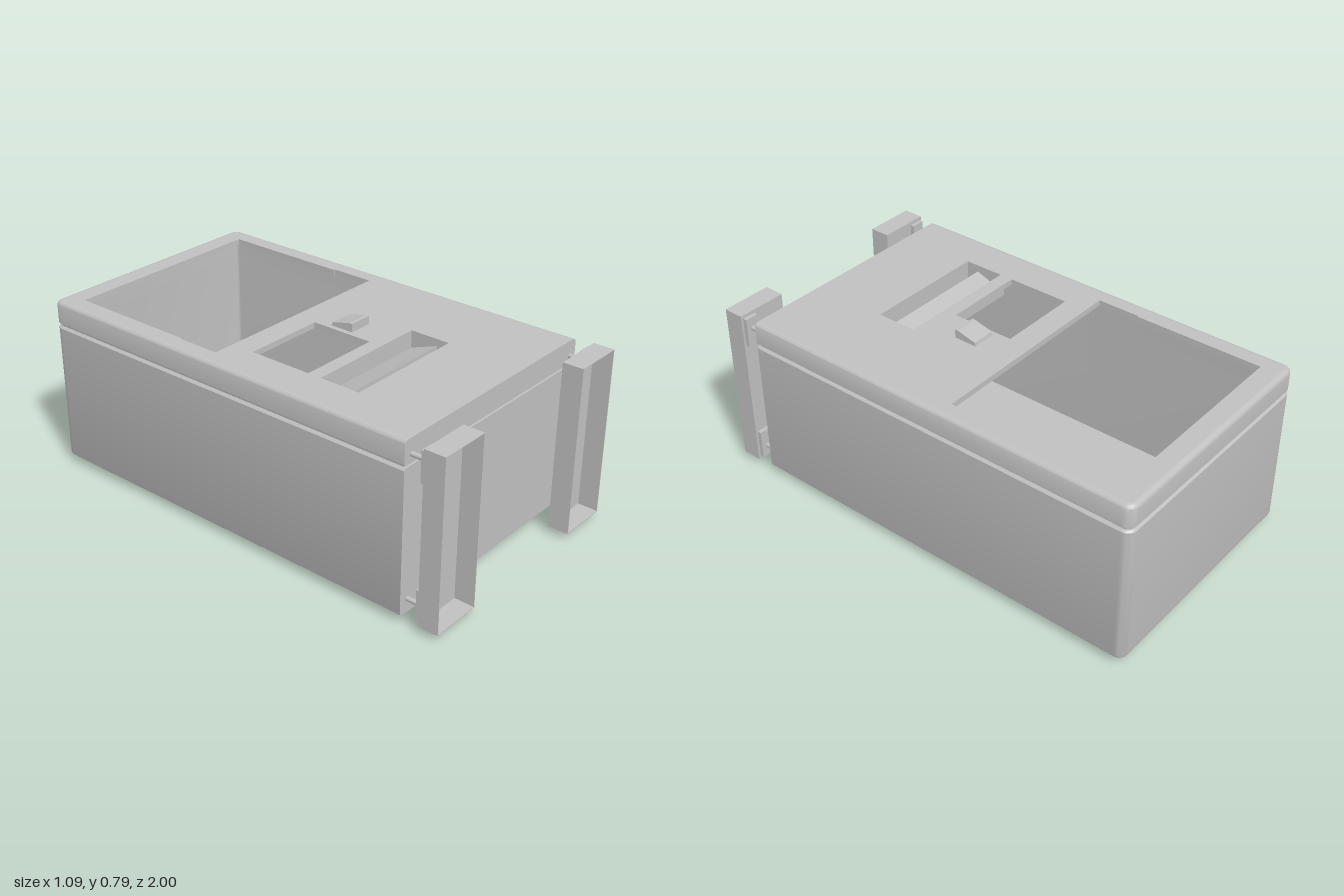
import * as THREE from 'three';
import { toCreasedNormals } from 'three/addons/utils/BufferGeometryUtils.js';

const W = 0.545, BACK = -1, FRONT = 0.83, CORNER = 0.04;

// Plan outline, rounded at the two back corners, square at the front
function outline(inset, front) {
  const w = W - inset, b = BACK + inset, f = FRONT - front;
  const r = Math.max(CORNER - inset, 0.004), n = 6, pts = [[w, f]];
  for (const side of [0, 1]) {
    for (let i = 0; i <= n; i++) {
      const a = (side + i / n) * Math.PI / 2;
      pts.push([(side ? -1 : 1) * (w - r) + r * Math.cos(a), b + r - r * Math.sin(a)]);
    }
  }
  pts.push([-w, f]);
  return pts;
}

// Skin stretched over a stack of outlines; inset null gathers the ring to the centre
function loft(profile) {
  const pos = [], idx = [], n = outline(0, 0).length;
  profile.forEach(([inset, y, front = 0], k) => {
    for (const [x, z] of outline(inset ?? 0, front)) {
      pos.push(...(inset === null ? [0, y, 0] : [x, y, z]));
    }
    if (k === 0) return;
    for (let i = 0; i < n; i++) {
      const j = (i + 1) % n, a = (k - 1) * n, b = k * n;
      if (profile[k - 1][0] !== null) idx.push(a + i, a + j, b + j);
      else idx.push(a + i, b + j, b + i);
      if (profile[k][0] !== null && profile[k - 1][0] !== null) idx.push(a + i, b + j, b + i);
    }
  });
  const g = new THREE.BufferGeometry();
  g.setAttribute('position', new THREE.Float32BufferAttribute(pos, 3));
  g.setIndex(idx);
  return toCreasedNormals(g, 0.6);
}

// Quarter round between a wall and a flat face
function round(r, y, dir, n = 5) {
  const pts = [];
  for (let i = 0; i <= n; i++) {
    const a = (i / n) * Math.PI / 2;
    pts.push([r * (1 - Math.cos(a)), y + dir * r * (Math.sin(a) - 1)]);
  }
  return dir > 0 ? pts : pts.reverse();
}

export function createModel() {
  const model = new THREE.Group();
  const grey = new THREE.MeshStandardMaterial({ color: 0xc0c0c0 });
  grey.name = 'grey plastic';

  const add = (name, geometry, x = 0, y = 0, z = 0, parent = model) => {
    const m = new THREE.Mesh(geometry, grey);
    m.name = name;
    m.position.set(x, y, z);
    parent.add(m);
    return m;
  };
  // Box given by its limits
  const block = (name, x0, x1, y0, y1, z0, z1, parent = model) =>
    add(name, new THREE.BoxGeometry(x1 - x0, y1 - y0, z1 - z0),
      (x0 + x1) / 2, (y0 + y1) / 2, (z0 + z1) / 2, parent);

  // Hollow case with a rounded underside
  add('case', loft([
    [null, 0.027], ...round(0.02, 0.027, -1), [0, 0.637], [0.008, 0.645],
    [0.025, 0.645, 0.025], [0.025, 0.05, 0.025], [null, 0.05],
  ]));

  // Recessed lip in the seam between case and lid
  add('seamLip', loft([
    [0.012, 0.63, 0.012], [0.012, 0.67, 0.012], [0.025, 0.67, 0.025], [0.025, 0.63, 0.025],
  ]));

  // Lid rim, rounded towards the top
  add('lidRim', loft([
    [0.025, 0.654, 0.025], [0.006, 0.654], [0, 0.66], ...round(0.022, 0.755, 1),
  ]));
  add('lidRimInside', loft([[0.025, 0.73, 0.025], [0.025, 0.654, 0.025]]));

  // Lid plate with window, display opening and slot
  const plan = new THREE.Shape(outline(0.022, 0).map(([x, z]) => new THREE.Vector2(x, -z)));
  const cut = (pts) => plan.holes.push(new THREE.Path(pts.map(([x, z]) => new THREE.Vector2(x, -z))));
  const rect = (x0, x1, z0, z1) => [[x0, z0], [x1, z0], [x1, z1], [x0, z1]];
  cut([[-0.46, -0.9], [0.46, -0.9], [0.46, -0.33], [0.466, -0.33], [0.466, -0.14],
    [-0.466, -0.14], [-0.466, -0.33], [-0.46, -0.33]]);
  cut(rect(-0.37, -0.01, -0.035, 0.245));
  cut(rect(-0.37, 0.18, 0.305, 0.485));
  const plate = new THREE.ExtrudeGeometry(plan, { depth: 0.025, bevelEnabled: false });
  plate.rotateX(-Math.PI / 2);
  add('lidPlate', plate, 0, 0.73, 0);

  // Profile in z and y, extruded along x
  const prism = (name, pts, x0, x1) => {
    const s = new THREE.Shape(pts.map(([z, y]) => new THREE.Vector2(-z, y)));
    const g = new THREE.ExtrudeGeometry(s, { depth: x1 - x0, bevelEnabled: false });
    g.rotateY(Math.PI / 2);
    return add(name, g, x0, 0, 0);
  };

  // Slot well with its sloping ramp
  prism('slotRamp', [[0.305, 0.66], [0.43, 0.66], [0.43, 0.725], [0.305, 0.68]], -0.37, 0.18);
  block('slotFloor', -0.38, 0.19, 0.655, 0.665, 0.295, 0.495);
  block('slotBackWall', -0.38, 0.19, 0.655, 0.735, 0.295, 0.305);
  block('slotFrontWall', -0.38, 0.19, 0.655, 0.735, 0.485, 0.495);
  block('slotEndWall', -0.38, -0.37, 0.655, 0.735, 0.295, 0.495);
  block('slotEndWall', 0.18, 0.19, 0.655, 0.735, 0.295, 0.495);

  // Sloping push button
  prism('button', [[0.14, 0.75], [0.14, 0.791], [0.125, 0.791], [0.04, 0.77], [0.035, 0.75]],
    0.012, 0.117);

  // Compartment inside the case, with its hatch and latch underneath
  block('compartment', -0.33, 0.51, 0.05, 0.17, 0.53, 0.81);
  block('hatch', -0.33, 0.5, 0.025, 0.03, 0.54, 0.82);
  block('hatchLatch', 0.33, 0.44, 0.025, 0.03, 0.44, 0.525);

  // Small catch hanging below the front edge
  const catchPart = new THREE.Group();
  catchPart.name = 'catch';
  model.add(catchPart);
  const sphere = new THREE.SphereGeometry(1, 20, 12);
  add('catchKnob', sphere, -0.385, 0.02, 0.795, catchPart).scale.set(0.027, 0.02, 0.042);
  add('catchWing', sphere, -0.405, 0.025, 0.775, catchPart).scale.set(0.035, 0.008, 0.045);
  add('catchTip', sphere, -0.37, 0.024, 0.825, catchPart).scale.set(0.014, 0.012, 0.016);

  // Two open trays standing off the front on pins
  for (const side of [1, -1]) {
    const foot = new THREE.Group();
    foot.name = side > 0 ? 'leftStand' : 'rightStand';
    model.add(foot);
    const t = 0.003;
    const part = (name, x0, x1, ...rest) =>
      block(name, Math.min(side * x0, side * x1), Math.max(side * x0, side * x1), ...rest, foot);
    part('standBack', 0.32, 0.545, 0.027, 0.755, 0.91, 0.91 + t);
    part('standInnerWall', 0.32, 0.32 + t, 0.027, 0.755, 0.91, 1);
    part('standOuterWall', 0.545 - t, 0.545, 0.027, 0.755, 0.91, 1);
    part('standTop', 0.32, 0.545, 0.755 - t, 0.755, 0.91, 1);
    part('standBottom', 0.32, 0.545, 0.027, 0.027 + t, 0.91, 1);
    for (const [pinY, padY] of [[0.69, 0.675], [0.09, 0.105]]) {
      part('pinPad', 0.475, 0.535, padY - 0.065, padY + 0.065, 0.892, 0.91);
      const pin = new THREE.CylinderGeometry(0.01, 0.01, 0.08, 16);
      pin.rotateX(Math.PI / 2);
      add('pin', pin, side * 0.505, pinY, 0.86, foot);
    }
  }
  return model;
}
